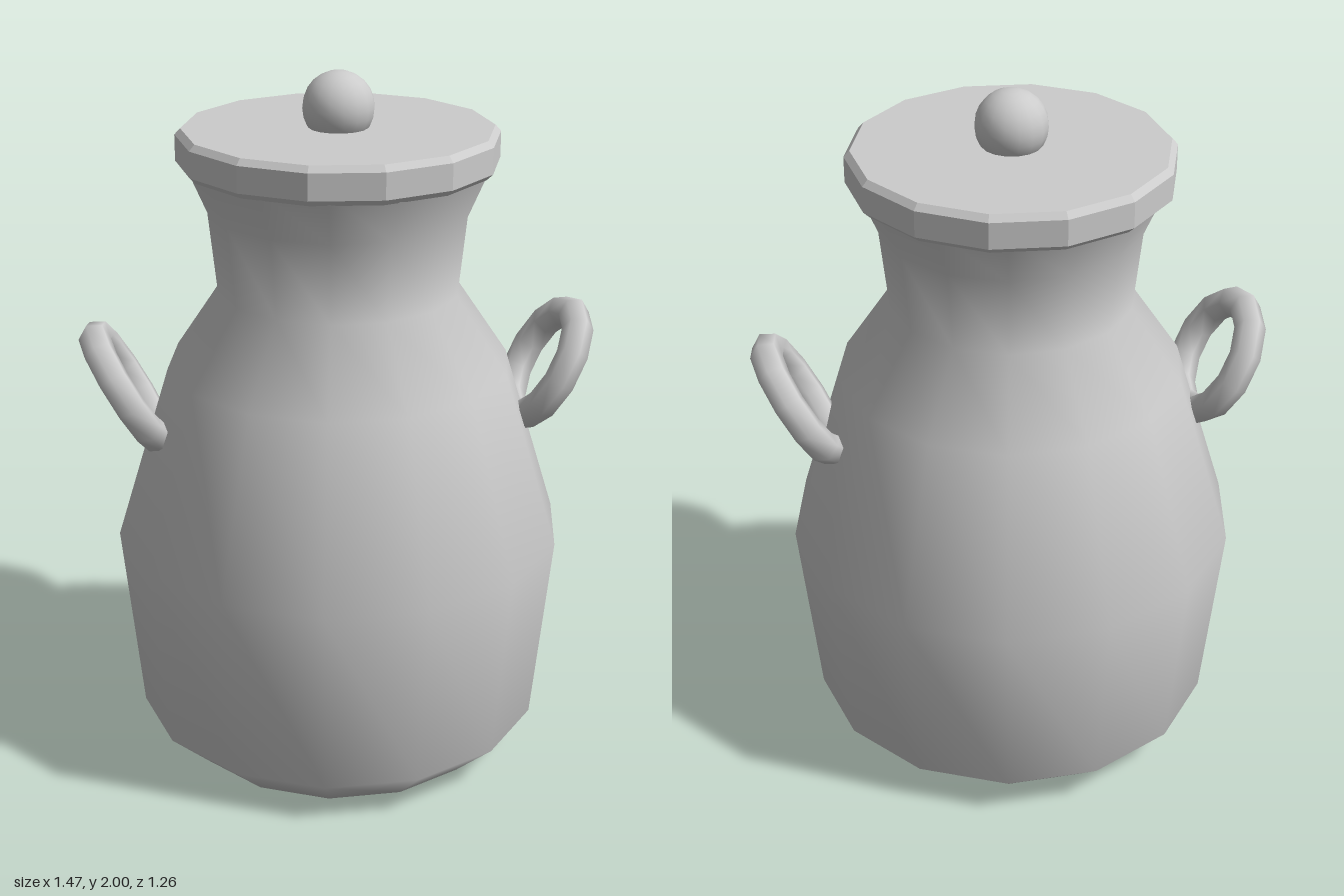
import * as THREE from 'three';

const SIDES = 14;

// Turned shape from [radius, height] pairs, first corner on the +x axis
function turned(name, points, material, twist = 0) {
  const profile = points.map(([r, y]) => new THREE.Vector2(r, y));
  const mesh = new THREE.Mesh(new THREE.LatheGeometry(profile, SIDES, Math.PI / 2 - twist), material);
  mesh.name = name;
  return mesh;
}

export function createModel() {
  const model = new THREE.Group();
  model.name = 'liddedJar';
  const smooth = new THREE.MeshStandardMaterial({ color: 0xcccccc });
  const faceted = new THREE.MeshStandardMaterial({ color: 0xcccccc, flatShading: true });

  // Body: chamfered foot, swelling belly, narrow neck and flared mouth
  const body = turned('body', [
    [0, 0], [0.465, 0], [0.59, 0.115], [0.645, 0.67], [0.49, 1.17],
    [0.342, 1.39], [0.366, 1.62], [0.43, 1.77],
  ], smooth);
  model.add(body);

  // Lid: thin disc with bevelled rims, turned slightly against the body
  const lid = turned('lid', [
    [0, 1.738], [0.43, 1.738], [0.448, 1.755], [0.448, 1.828], [0.432, 1.845], [0, 1.845],
  ], faceted, 0.113);
  lid.position.z = -0.008;
  model.add(lid);

  // Knob on the lid
  const knob = new THREE.Mesh(new THREE.SphereGeometry(0.1, 16, 12), smooth);
  knob.name = 'knob';
  knob.position.set(0, 1.9, -0.005);
  model.add(knob);

  // Ring handles leaning outward from the shoulders
  for (const side of [1, -1]) {
    const handle = new THREE.Mesh(new THREE.TorusGeometry(0.169, 0.045, 6, 12), smooth);
    handle.name = side > 0 ? 'leftHandle' : 'rightHandle';
    handle.position.set(side * 0.605, 1.125, 0);
    handle.rotation.set(0, Math.PI / 2, -side * Math.PI / 6, 'ZYX');
    model.add(handle);
  }

  return model;
}
